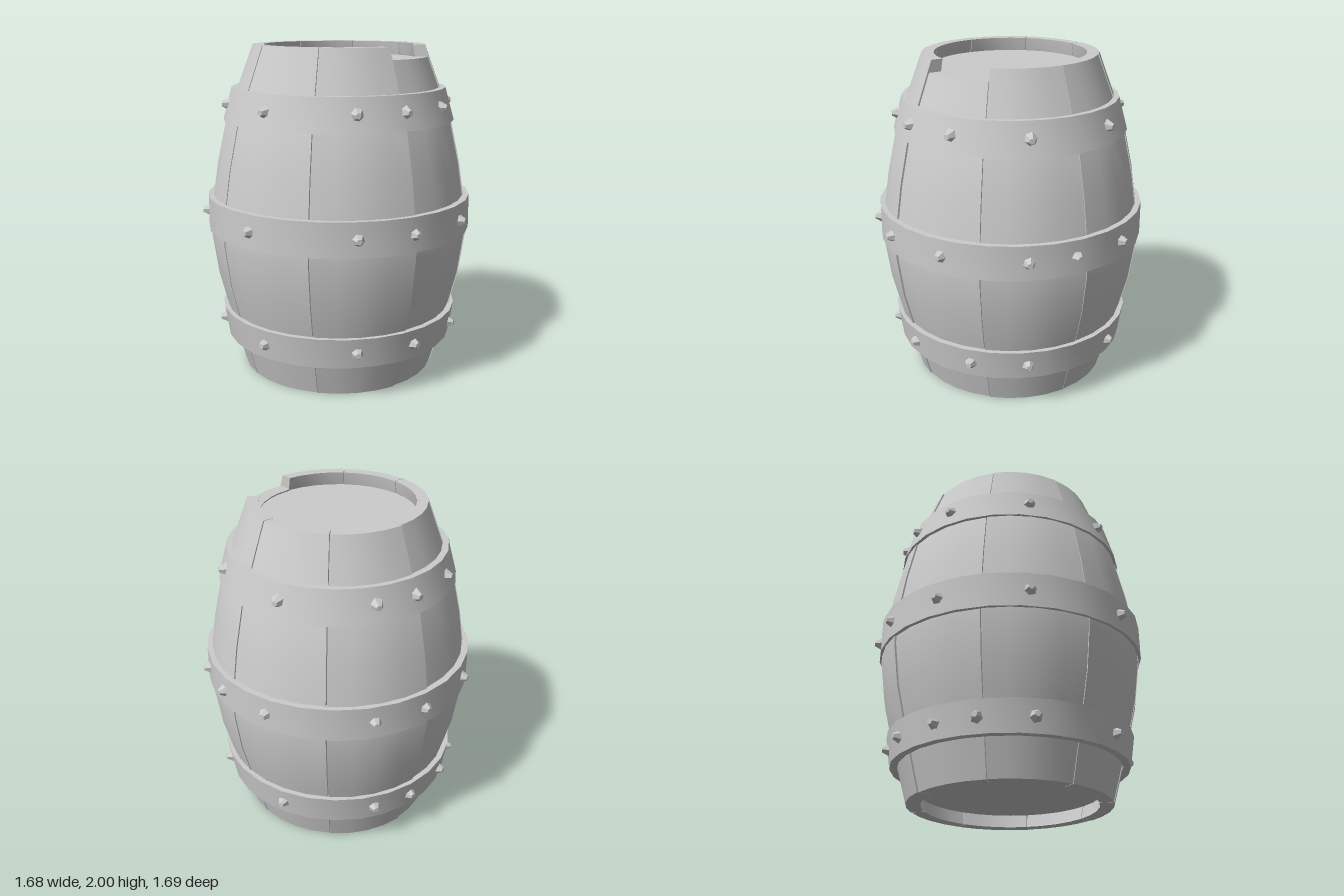
import * as THREE from 'three';
import { toCreasedNormals } from 'three/addons/utils/BufferGeometryUtils.js';

const mat = new THREE.MeshStandardMaterial({ color: 0xcccccc, side: THREE.DoubleSide });
const V = (x, y) => new THREE.Vector2(x, y);
const rad = THREE.MathUtils.degToRad;

function add(parent, geometry, name) {
  const mesh = new THREE.Mesh(geometry, mat);
  mesh.name = name;
  parent.add(mesh);
  return mesh;
}

// Outer curve of the barrel as [radius, height]
const OUTER = [[0.6, 0], [0.655, 0.2], [0.708, 0.4], [0.758, 0.6], [0.792, 0.85],
  [0.79, 1], [0.774, 1.1], [0.743, 1.3], [0.687, 1.55], [0.612, 1.75]];

// Closed cross-section of one stave, ending at height top
function staveProfile(top, offset) {
  const outer = OUTER.map(([r, y]) => V(r + offset, y));
  outer.push(V(0.612 + offset - 0.38 * (top - 1.75), top));
  const inner = [V(0.45, top), V(0.47, 1.88), V(0.62, 1.5), V(0.71, 1), V(0.63, 0.4), V(0.52, 0)];
  return [...outer, ...inner];
}

// A stave: a sector of the barrel wall with closed sides
function addStave(parent, i, top, offset) {
  const stave = new THREE.Group();
  stave.name = 'stave' + (i + 1);
  parent.add(stave);
  const profile = staveProfile(top, offset);
  const gap = 0.004;
  const start = (i - 0.5) * Math.PI / 4 + gap;
  const length = Math.PI / 4 - 2 * gap;
  const wall = new THREE.LatheGeometry([...profile, profile[0].clone()], 4, start, length);
  add(stave, toCreasedNormals(wall, 0.6), 'staveWall');
  for (const phi of [start, start + length]) {
    const side = add(stave, new THREE.ShapeGeometry(new THREE.Shape(profile)), 'staveSide');
    side.rotation.y = phi - Math.PI / 2;
  }
}

// A metal hoop with rivets at the given angles (from +x towards +z)
function addHoop(parent, name, y0, y1, r0, r1, angles) {
  const hoop = new THREE.Group();
  hoop.name = name;
  parent.add(hoop);
  const t = 0.045;
  const profile = [V(r0, y0), V(r1, y1), V(r1 - t, y1), V(r0 - t, y0), V(r0, y0)];
  add(hoop, toCreasedNormals(new THREE.LatheGeometry(profile, 28), 0.6), 'hoopBand');
  const r = (r0 + r1) / 2 + 0.008;
  for (const a of angles) {
    const dir = new THREE.Vector3(Math.cos(rad(a)), 0, Math.sin(rad(a)));
    const geo = new THREE.CylinderGeometry(0.017, 0.043, 0.05, 6);
    const rivet = add(hoop, toCreasedNormals(geo, 0.5), 'rivet');
    rivet.quaternion.setFromUnitVectors(new THREE.Vector3(0, 1, 0), dir);
    rivet.position.copy(dir).multiplyScalar(r).setY((y0 + y1) / 2);
  }
}

export function createModel() {
  const barrel = new THREE.Group();
  barrel.name = 'barrel';

  // Eight staves, slightly uneven; the one on +x is broken off short
  const offsets = [0, 0.004, -0.004, 0.003, 0, 0.005, -0.003, 0.002];
  offsets.forEach((o, i) => addStave(barrel, i, i === 2 ? 1.93 : 2, o));

  // Recessed round heads
  for (const [name, r, y] of [['topHead', 0.48, 1.9], ['bottomHead', 0.55, 0.1]]) {
    const geo = new THREE.CylinderGeometry(r, r, 0.04, 32);
    add(barrel, geo, name).position.y = y;
  }

  // Three riveted hoops
  addHoop(barrel, 'bottomHoop', 0.21, 0.395, 0.71, 0.738,
    [-135, -90, -43, -16, 18, 47, 92, 135, 160, 180, 205]);
  addHoop(barrel, 'middleHoop', 0.895, 1.1, 0.812, 0.81,
    [-87, -62, -42, -6, 24, 48, 94, 138, 176, 205, 228]);
  addHoop(barrel, 'topHoop', 1.555, 1.75, 0.703, 0.648,
    [-135, -89, -44, -6, 22, 47, 93, 136, 178, 204]);

  return barrel;
}
